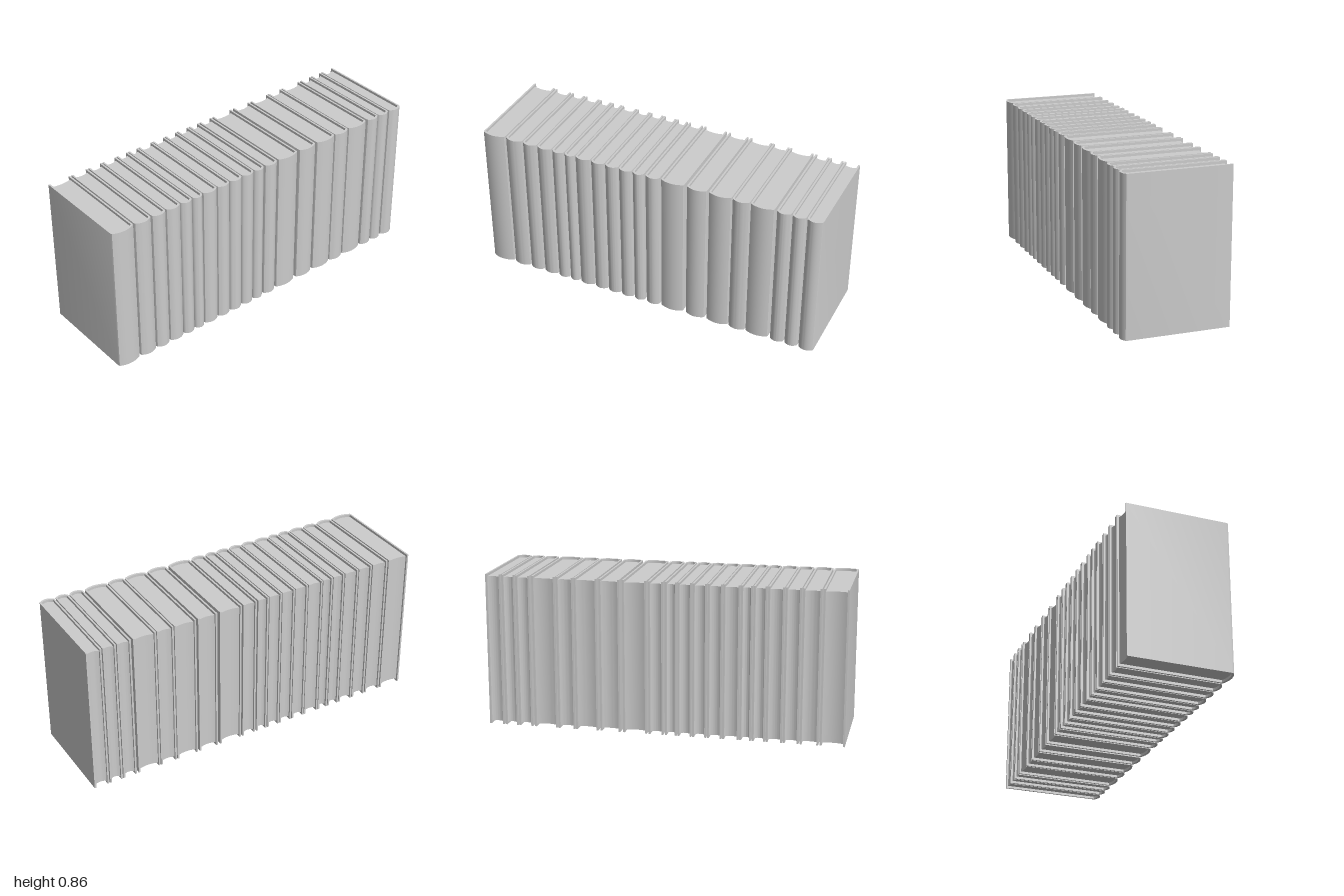
import * as THREE from 'three';
import { toCreasedNormals } from 'three/addons/utils/BufferGeometryUtils.js';

const HEIGHT = 0.86;
const BACK = -0.294; // open edge of the covers
const SHOULDER = 0.278; // where the cover turns into the spine
const BULGE = 0.294; // foremost point of the rounded spine
const BOARD = 0.01; // cover thickness
const LIP = 0.014; // how far the covers stand out past the pages

// left and right edge of every book along the row
const BOOKS = [
  [-1, -0.865], [-0.857, -0.757], [-0.75, -0.665], [-0.66, -0.572], [-0.567, -0.495],
  [-0.49, -0.427], [-0.423, -0.332], [-0.328, -0.248], [-0.243, -0.165], [-0.16, -0.083],
  [-0.078, -0.012], [-0.003, 0.08], [0.09, 0.224], [0.24, 0.355], [0.367, 0.495],
  [0.5, 0.597], [0.602, 0.735], [0.747, 0.827], [0.832, 0.907], [0.913, 1],
];

// points of a shallow arc from x = a to x = b, going from z at the ends to zMid in the middle
function arc(a, b, z, zMid, steps = 12) {
  const points = [];
  for (let i = 0; i <= steps; i++) {
    const t = i / steps;
    const x = a + (b - a) * t;
    points.push([x, z + (zMid - z) * 4 * t * (1 - t)]);
  }
  return points;
}

// upright prism from an outline given as [x, z] pairs
function prism(outline, y0, y1) {
  const shape = new THREE.Shape(outline.map(([x, z]) => new THREE.Vector2(x, -z)));
  const geometry = new THREE.ExtrudeGeometry(shape, { depth: y1 - y0, bevelEnabled: false });
  geometry.rotateX(-Math.PI / 2).translate(0, y0, 0);
  return toCreasedNormals(geometry, 0.6);
}

function makeBook([left, right], material) {
  const book = new THREE.Group();
  book.name = 'book';
  const inL = left + BOARD;
  const inR = right - BOARD;

  // U-shaped cover: two boards joined by a rounded spine
  const cover = new THREE.Mesh(prism([
    [left, BACK],
    [left, SHOULDER - 0.01],
    ...arc(left + 0.003, right - 0.003, SHOULDER, BULGE),
    [right, SHOULDER - 0.01],
    [right, BACK],
    [inR, BACK],
    ...arc(inR, inL, SHOULDER - BOARD, BULGE - BOARD - 0.003),
    [inL, BACK],
  ], 0, HEIGHT), material);
  cover.name = 'cover';

  // page block with a hollowed fore edge, tucked inside the cover
  const pages = new THREE.Mesh(prism([
    ...arc(inL - 0.001, inR + 0.001, BACK + 0.01, BACK + 0.02),
    ...arc(inR + 0.001, inL - 0.001, SHOULDER - BOARD, BULGE - BOARD - 0.002),
  ], LIP, HEIGHT - LIP), material);
  pages.name = 'pages';

  book.add(cover, pages);
  return book;
}

export function createModel() {
  const grey = new THREE.MeshStandardMaterial({ color: 0xcccccc });
  grey.name = 'light grey';
  const row = new THREE.Group();
  row.name = 'bookRow';
  BOOKS.forEach((edges) => row.add(makeBook(edges, grey)));
  return row;
}
